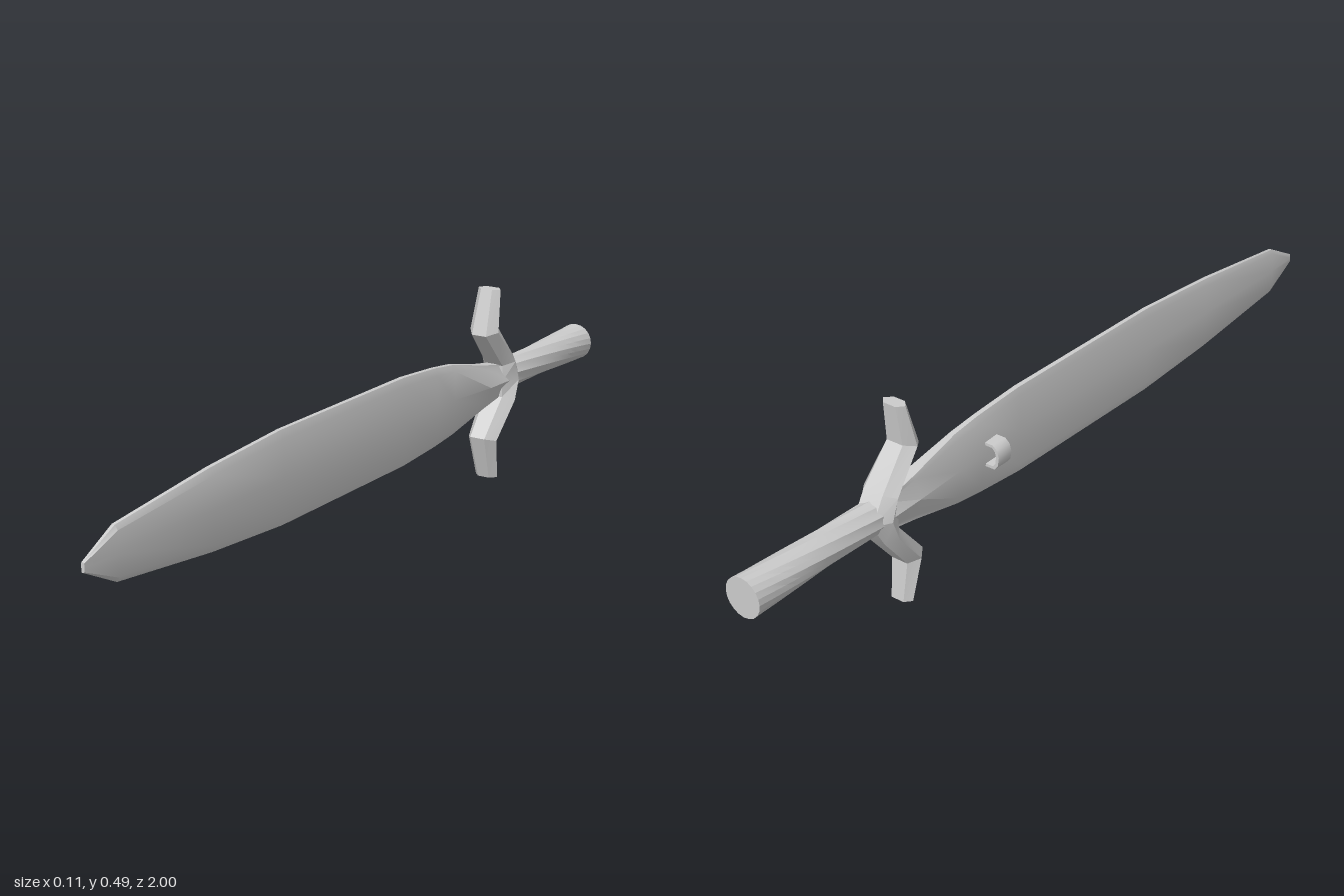
import * as THREE from 'three';
import { toCreasedNormals } from 'three/addons/utils/BufferGeometryUtils.js';

const MID = 0.2425; // height of the sword's long axis

// Skin a closed surface over equal-sized rings of [x, y, z], capped at both ends
function loft(rings, crease) {
  const n = rings[0].length;
  const pos = rings.flat(2);
  const index = [];
  for (let i = 0; i < rings.length - 1; i++) {
    for (let j = 0; j < n; j++) {
      const k = (j + 1) % n;
      const a = i * n + j, b = i * n + k, c = b + n, d = a + n;
      index.push(a, b, c, a, c, d);
    }
  }
  [0, rings.length - 1].forEach((r, end) => {
    const centre = [0, 1, 2].map(q => rings[r].reduce((s, p) => s + p[q], 0) / n);
    const m = pos.length / 3;
    pos.push(...centre);
    for (let j = 0; j < n; j++) {
      const a = r * n + j, b = r * n + (j + 1) % n;
      index.push(m, ...(end ? [a, b] : [b, a]));
    }
  });
  const g = new THREE.BufferGeometry();
  g.setAttribute('position', new THREE.Float32BufferAttribute(pos, 3));
  g.setIndex(index);
  return toCreasedNormals(g, crease);
}

export function createModel() {
  const group = new THREE.Group();
  const material = new THREE.MeshStandardMaterial({ color: 0xcccccc });
  const add = (name, geometry, mat = material) => {
    const mesh = new THREE.Mesh(geometry, mat);
    mesh.name = name;
    group.add(mesh);
  };

  // Blade: z, half height, thickness to the right (-x) and left (+x), edge half thickness
  const blade = [
    [-0.59, 0.038, 0.034, 0.038, 0.018],
    [-0.5, 0.055, 0.03, 0.033, 0.014],
    [-0.36, 0.088, 0.021, 0.014, 0.007],
    [-0.28, 0.098, 0.02, 0.013, 0.006],
    [-0.14, 0.108, 0.01, 0.012, 0.006],
    [0.35, 0.109, 0.01, 0.012, 0.005],
    [0.6, 0.093, 0.01, 0.012, 0.005],
    [0.905, 0.06, 0.009, 0.011, 0.004],
    [1, 0.011, 0.003, 0.005, 0.002],
  ].map(([z, h, r, l, e]) => {
    const s = h * 0.82;
    const rf = Math.min(r, 0.01 + e * 0.4), lf = Math.min(l, 0.012 + e * 0.4);
    return [
      [l, 0], [lf, s], [e, h], [-e, h], [-rf, s],
      [-r, 0], [-rf, -s], [-e, -h], [e, -h], [lf, -s],
    ].map(([x, y]) => [x, MID + y, z]);
  });
  add('blade', loft(blade, 0.6));

  // Guard: inner height and z, outer height and z, half width; mirrored below the axis
  const arm = [
    [0.0405, -0.565, 0.06, -0.612, 0.048],
    [0.132, -0.487, 0.147, -0.54, 0.04],
    [0.2425, -0.52, 0.2425, -0.552, 0.031],
  ];
  const guard = [
    ...arm.map(([yi, zi, yo, zo, w]) => [-yi, zi, -yo, zo, w]).reverse(),
    [0, -0.565, 0, -0.648, 0.048],
    ...arm,
  ].map(([yi, zi, yo, zo, w]) => [
    [-0.5, 0], [0.5, 0], [1, 0.5], [0.55, 1], [-0.55, 1], [-1, 0.5],
  ].map(([x, t]) => [0.003 + x * w, MID + yi + (yo - yi) * t, zi + (zo - zi) * t]));
  add('guard', loft(guard, 0.3));

  // Grip: fluted, twisted and flared towards the pommel end
  const grip = [];
  const steps = 10, sides = 20;
  for (let i = 0; i <= steps; i++) {
    const t = i / steps;
    const radius = 0.038 + 0.009 * t * t;
    const flute = 0.0035 * (1 - t);
    const ring = [];
    for (let j = 0; j < sides; j++) {
      const a = (j / sides) * Math.PI * 2 + (1 - t) * 0.9;
      const r = radius - (j % 2) * flute;
      ring.push([0.001 + r * Math.cos(a), MID + 0.004 + r * Math.sin(a), -0.6 - 0.4 * t]);
    }
    grip.unshift(ring);
  }
  add('grip', loft(grip, 0.25));

  // Belt loop: a bent strap on the right face of the blade
  const outer = [[-0.012, 0.272], [-0.038, 0.272], [-0.05, 0.262], [-0.055, 0.245],
    [-0.052, 0.224], [-0.042, 0.212], [-0.012, 0.212]];
  const inner = [[-0.012, 0.219], [-0.038, 0.219], [-0.045, 0.228], [-0.047, 0.245],
    [-0.044, 0.257], [-0.036, 0.265], [-0.012, 0.265]];
  const strap = new THREE.Shape([...outer, ...inner].map(p => new THREE.Vector2(...p)));
  const loop = new THREE.ExtrudeGeometry(strap, { depth: 0.044, bevelEnabled: false });
  loop.translate(0, 0, -0.27);
  add('beltLoop', toCreasedNormals(loop, 0.7));

  return group;
}
